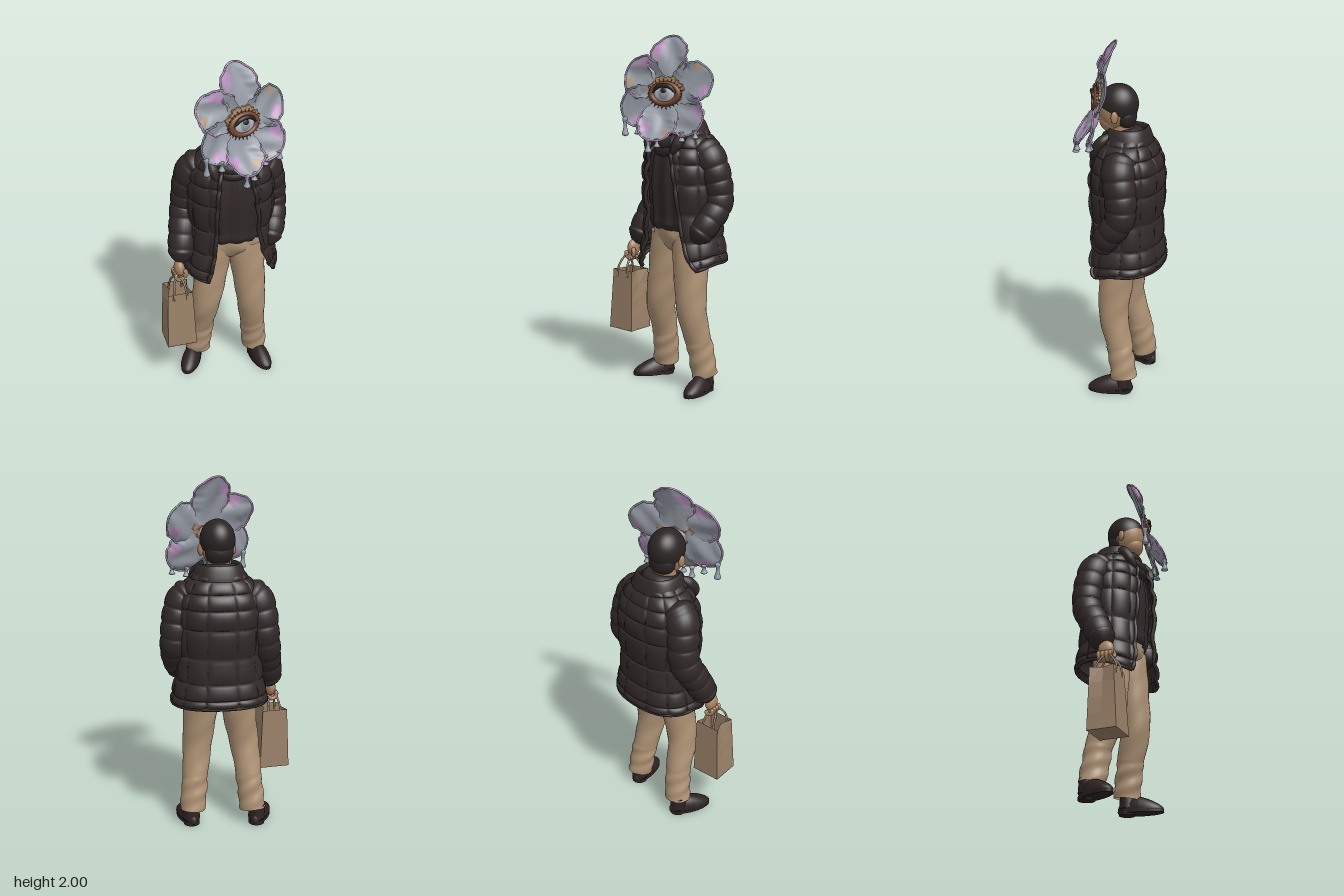
import * as THREE from 'three';
import { mergeVertices } from 'three/addons/utils/BufferGeometryUtils.js';
import { ParametricGeometry } from 'three/addons/geometries/ParametricGeometry.js';

const V = (x, y, z) => new THREE.Vector3(x, y, z);
const { sin, cos, abs, sqrt, pow, min, max, PI, sign } = Math;
const rad = THREE.MathUtils.degToRad, lerp = THREE.MathUtils.lerp;

function material(name, color) {
  const m = new THREE.MeshStandardMaterial({ color, side: THREE.DoubleSide });
  m.name = name;
  return m;
}

function add(parent, name, geometry, mat, pos = [0, 0, 0], rot = [0, 0, 0], scale = [1, 1, 1]) {
  const m = new THREE.Mesh(geometry, mat);
  m.name = name;
  m.position.set(...pos); m.rotation.set(...rot); m.scale.set(...scale);
  parent.add(m);
  return m;
}

function group(parent, name, pos = [0, 0, 0], rot = [0, 0, 0]) {
  const g = new THREE.Group();
  g.name = name;
  g.position.set(...pos);
  g.rotation.set(rot[0], rot[1], rot[2], 'YXZ');
  parent.add(g);
  return g;
}

// Tube whose radius varies along the path and around it
function sweep(points, n, sides, radius) {
  const curve = new THREE.CatmullRomCurve3(points);
  const g = new THREE.TubeGeometry(curve, n, 1, sides), p = g.attributes.position, v = V();
  for (let i = 0; i <= n; i++) {
    const c = curve.getPointAt(i / n);
    for (let j = 0; j <= sides; j++) {
      const k = i * (sides + 1) + j;
      v.fromBufferAttribute(p, k).sub(c).multiplyScalar(radius(i / n, j / sides * 2 * PI)).add(c);
      p.setXYZ(k, v.x, v.y, v.z);
    }
  }
  g.deleteAttribute('normal'); g.deleteAttribute('uv');
  const w = mergeVertices(g, 1e-5);
  w.computeVertexNormals();
  return w;
}
const cap = (t, e = 0.06) => sqrt(min(1, min(t, 1 - t) / e));
const surface = (f, a, b) => new ParametricGeometry((u, v, t) => t.copy(f(u, v)), a, b);
const line = f => Array.from({ length: 25 }, (_, i) => f(i / 24));

// Garment wall: profile points hold half width, height, half depth; gap(v, side) opens the front
function garment(profile, zc, gap, bulge) {
  const curve = new THREE.CatmullRomCurve3(profile);
  return (u, v) => {
    const p = curve.getPoint(v), a = lerp(gap(v, 1), 2 * PI - gap(v, -1), u), k = bulge(a, v);
    const s = sin(a), c = cos(a);
    return V((p.x + k) * sign(s) * pow(abs(s), 0.85), p.y, zc + (p.z + k) * sign(c) * pow(abs(c), 0.85));
  };
}

export function createModel() {
  const root = new THREE.Group();
  root.name = 'flowerHeadedFigure';
  const coat = material('dark coat cloth', 0x312829), hair = material('dark hair', 0x2b2424);
  const tan = material('tan trousers', 0xae9274), paper = material('brown paper', 0x9a8168);
  const skin = material('skin', 0xa98362), shoe = material('shoe leather', 0x2d2223);
  const petalGrey = material('petal grey', 0x949aa4), pink = material('petal pink', 0xb890bc);
  const rust = material('rust brown', 0x74462f), eyeWhite = material('eye white', 0xb4b8bd);
  const body = group(root, 'body', [0.017, 0, -0.062], [0, rad(36), 0]);

  // Trousers
  add(body, 'trouserSeat', surface(garment(
    [V(0.03, 0.79, 0.03), V(0.12, 0.815, 0.085), V(0.178, 0.88, 0.125), V(0.165, 0.97, 0.13)], -0.01, () => 0,
    (a, v) => 0.003 * sin(8 * a + 9 * v)), 48, 16), tan);
  const legs = [
    [V(0.088, 0.89, 0), V(0.105, 0.7, 0.02), V(0.122, 0.48, 0.03), V(0.143, 0.28, -0.01), V(0.157, 0.09, -0.042)],
    [V(-0.088, 0.89, 0), V(-0.115, 0.7, 0.015), V(-0.148, 0.48, 0.02), V(-0.172, 0.28, -0.03), V(-0.19, 0.09, -0.06)],
  ];
  legs.forEach((path, i) => add(body, i ? 'rightTrouserLeg' : 'leftTrouserLeg', sweep(path, 72, 28, (t, a) =>
    lerp(0.11, 0.074, min(1, t * 1.35)) + 0.003 * sin(22 * t + 2 * a) * sin(9 * t + a) +
    (t > 0.75 ? 0.003 * sin(55 * t + 2 * a) : 0)), tan));

  // Shoes
  const upper = new THREE.SphereGeometry(1, 28, 20), up = upper.attributes.position;
  for (let i = 0; i < up.count; i++) {
    const z = up.getZ(i);
    up.setXYZ(i, up.getX(i) * (1 + 0.12 * z), max(up.getY(i), -0.1) * (z > -0.2 ? 1 - 0.4 * (z + 0.2) : 1), z);
  }
  upper.computeVertexNormals();
  [['leftShoe', 0.184, 0.03, 14], ['rightShoe', -0.24, -0.005, -22]].forEach(([name, x, z, yaw]) => {
    const s = group(body, name, [x, 0, z], [0, rad(yaw), 0]);
    add(s, 'upper', upper, shoe, [0, 0.022, 0], [0, 0, 0], [0.054, 0.085, 0.13]);
    add(s, 'ankle', new THREE.CylinderGeometry(0.045, 0.05, 0.08, 20), shoe, [0, 0.075, -0.07]);
    add(s, 'sole', new THREE.CylinderGeometry(1, 1, 0.02, 28), shoe, [0, 0.016, 0.005], [0, 0, 0], [0.055, 1, 0.126]);
    add(s, 'heel', new THREE.CylinderGeometry(0.046, 0.046, 0.024, 20), shoe, [0, 0.012, -0.075]);
  });

  // Ribbed sweater under the coat
  add(body, 'sweater', surface(garment(
    [V(0.17, 0.93, 0.135), V(0.19, 0.96, 0.15), V(0.18, 1.0, 0.15), V(0.195, 1.2, 0.16), V(0.17, 1.38, 0.135), V(0.08, 1.5, 0.07)],
    -0.01, () => 0, a => 0.006 * sin(14 * a)), 128, 24), coat);

  // Open quilted coat with rolled edges; the left panel swings wider and the hem drops toward the front
  const gap = (v, side) => 0.28 + (side > 0 ? 0.75 : 0.25) * pow(1 - v, 2);
  const wall = garment([V(0.275, 0.76, 0.205), V(0.262, 0.82, 0.2), V(0.238, 0.98, 0.185), V(0.245, 1.2, 0.195),
    V(0.232, 1.34, 0.185), V(0.185, 1.44, 0.145), V(0.1, 1.52, 0.095)], -0.015, gap,
  (a, v) => 0.014 * sqrt(abs(sin(8 * PI * v))) * pow(abs(sin(5.5 * a)), 0.3) - 0.006);
  const shell = (u, v) => {
    const p = wall(u, v);
    p.y -= 0.06 * pow(1 - v, 3) * max(0, p.z / 0.18);
    return p;
  };
  add(body, 'coatShell', surface(shell, 132, 96), coat);
  add(body, 'rightCoatEdge', sweep(line(t => shell(1, t)), 60, 8, () => 0.012), coat);
  add(body, 'leftCoatEdge', sweep(line(t => shell(0, t)), 60, 8, () => 0.012), coat);
  add(body, 'coatHem', sweep(line(t => shell(t, 0)), 80, 8, () => 0.01), coat);

  // Sleeves
  const sleeve = (r0, r1) => t => lerp(r0, r1, t) * cap(t, 0.1) * (0.93 + 0.09 * sqrt(abs(sin(8 * PI * t))));
  add(body, 'rightSleeve', sweep([V(-0.12, 1.4, -0.03), V(-0.205, 1.335, -0.045), V(-0.25, 1.1, -0.065),
    V(-0.278, 0.95, 0.01), V(-0.303, 0.8, 0.083)], 96, 24, sleeve(0.1, 0.074)), coat);
  add(body, 'leftSleeve', sweep([V(0.12, 1.4, -0.02), V(0.2, 1.335, -0.025), V(0.25, 1.1, -0.05),
    V(0.24, 0.99, 0.02), V(0.2, 0.88, 0.095)], 96, 24, sleeve(0.1, 0.068)), coat);

  // Collar, lapels and cowl scarf
  add(body, 'collar', surface(garment([V(0.155, 1.42, 0.135), V(0.142, 1.48, 0.125), V(0.118, 1.535, 0.105), V(0.105, 1.54, 0.095),
    V(0.09, 1.48, 0.08)], -0.015, v => 0.6 + 0.2 * v, () => 0.004), 48, 20), coat);
  [-1, 1].forEach(s => add(body, s < 0 ? 'rightLapel' : 'leftLapel', sweep([V(s * 0.09, 1.515, 0.05),
    V(s * 0.125, 1.46, 0.11), V(s * 0.1, 1.36, 0.165)], 20, 12, t => 0.03 * cap(t, 0.3)), coat));
  [[0.082, 0.036, 1.49, 0.02, 0.2], [0.092, 0.042, 1.45, 0.04, 0.4], [0.085, 0.036, 1.42, 0.055, 0.55]].forEach(([r, t, y, z, tilt]) =>
    add(body, 'scarfWrap', new THREE.TorusGeometry(r, t, 14, 40), coat, [0, y, z], [PI / 2 + tilt, 0, 0]));

  // Head with cropped hair
  const head = group(root, 'head', [0.045, 1.645, -0.025], [0, rad(45), 0]);
  const ball = new THREE.SphereGeometry(1, 32, 24);
  add(head, 'face', ball, skin, [0, -0.01, 0.008], [0, 0, 0], [0.089, 0.125, 0.1]);
  add(head, 'jaw', ball, skin, [0, -0.075, 0.03], [0, 0, 0], [0.066, 0.068, 0.072]);
  add(head, 'hair', new THREE.SphereGeometry(1, 32, 24, 0, 2 * PI, 0, PI * 0.59), hair, [0, 0.01, -0.002], [-0.42, 0, 0], [0.098, 0.118, 0.111]);
  add(head, 'neck', new THREE.CylinderGeometry(0.06, 0.068, 0.17, 24), skin, [0, -0.12, -0.02]);
  add(head, 'nape', ball, hair, [0, -0.05, -0.042], [0, 0, 0], [0.08, 0.075, 0.062]);
  [-1, 1].forEach(s => add(head, s < 0 ? 'rightEar' : 'leftEar', ball, skin, [s * 0.096, -0.04, 0.002], [0, s * 0.4, 0], [0.012, 0.034, 0.02]));

  // Flower covering the face
  const flower = group(root, 'flower', [0.122, 1.683, 0.028], [rad(-7), rad(60), 0]);
  // Each petal: angle, reach, forward bend, drips as [u, v, length]
  const petals = [
    [90, 0.322, -0.035, []], [148, 0.292, -0.015, []],
    [205, 0.28, 0.03, [[-0.3, 0.96, 0.11], [-0.8, 0.7, 0.06]]],
    [262, 0.26, 0.12, [[0.35, 0.95, 0.08], [-0.5, 0.92, 0.05]]],
    [318, 0.285, 0.07, [[0.2, 0.96, 0.05], [0.75, 0.72, 0.06]]], [22, 0.28, 0.01, []],
  ];
  petals.forEach(([angle, reach, bend, drips], i) => {
    const p = group(flower, 'petal', [0, 0, 0.006 * (i % 2)], [0, 0, rad(angle - 90)]);
    const at = (u, v, lift = 0) => {
      const w = 0.113 * pow(max(0, sin(PI * (0.12 + 0.88 * pow(v, 1.3)))), 0.5) * (1 + 0.05 * sin(19 * v + i) + 0.025 * sin(41 * v));
      const r = lerp(0.045, reach, v) + 0.012 * v * (1 - v) * sin(7 * u + i);
      return V(u * w, r, 0.03 * sin(PI * v) * u * u - 0.012 * v + bend * v * v +
        0.012 * v * (1 - v * v * v) * sin(5 * u + 6 * v + i) + 0.008 * (1 - abs(u)) * (1 - v) + lift);
    };
    add(p, 'petalBlade', surface((u, v) => at(2 * u - 1, 1 - pow(1 - v, 1.6)), 20, 36), petalGrey);
    add(p, 'petalRim', sweep(Array.from({ length: 61 }, (_, k) => {
      const t = k / 30 - 1;
      return at(sign(t), 1 - 0.7 * t * t);
    }), 100, 6, t => 0.0055 * cap(t)), i % 3 === 2 ? petalGrey : pink);
    // Irregular stains on the blade
    const stain = (name, mat, uc, vc, su, sv, lift) => add(p, name, surface((u, v) => {
      const a = 2 * PI * u, k = v * (1 + 0.2 * sin(3 * a + i));
      return at(uc + su * k * cos(a), vc + sv * k * sin(a), lift);
    }, 20, 5), mat);
    [0.003, -0.003].forEach(l => stain('pinkStain', pink, i % 2 ? 0.62 : -0.62, 0.7, 0.27, 0.17, l));
    if (i % 2 === 1) stain('tanStain', tan, -0.65, 0.75, 0.2, 0.1, 0.003);
    // Drips hang straight down from the blade
    p.updateWorldMatrix(true, false);
    drips.forEach(([u, v, h]) => {
      const d = p.localToWorld(at(u, v));
      add(root, 'petalDrip', sweep([d, V(d.x + 0.004, d.y - h / 2, d.z), V(d.x + 0.004, d.y - h, d.z)], 18, 10,
        t => cap(t, 0.12) * (0.009 + 0.014 * pow(abs(2 * t - 0.9), 1.5))), petalGrey);
    });
  });

  // Ragged brow, rust eyelids with lashes, eyeball
  const ragged = new THREE.Shape(Array.from({ length: 72 }, (_, k) => {
    const a = 2 * PI * k / 72, r = 0.088 + 0.006 * sin(7 * a) + 0.005 * sin(18 * a);
    return new THREE.Vector2(r * 1.1 * cos(a), r * 0.82 * sin(a) + 0.02);
  }));
  add(flower, 'browFringe', new THREE.ExtrudeGeometry(ragged, { depth: 0.01, bevelSize: 0.003, bevelThickness: 0.003 }), skin, [0, 0, 0.01]);
  const eye = group(flower, 'eye', [0, 0, 0.024]);
  eye.scale.setScalar(0.9);
  add(eye, 'eyelids', new THREE.TorusGeometry(0.08, 0.02, 12, 40), rust, [0, 0, 0], [0, 0, 0], [1.08, 0.76, 1.1]);
  for (let i = 0; i < 26; i++) {
    const a = i / 26 * 2 * PI;
    add(eye, 'lash', new THREE.ConeGeometry(0.009, 0.035 + 0.008 * (i % 3), 6), rust,
      [0.1 * cos(a), 0.075 * sin(a), 0.006], [0, 0, a - PI / 2]);
  }
  add(eye, 'eyeball', ball, eyeWhite, [0, 0, -0.004], [0, 0, 0], [0.08, 0.056, 0.028]);
  add(eye, 'iris', ball, petalGrey, [0, 0.004, 0.012], [0, 0, 0], [0.04, 0.042, 0.018]);
  add(eye, 'pupil', ball, hair, [0, 0.016, 0.022], [0, 0, 0], [0.022, 0.02, 0.011]);
  add(eye, 'upperLid', sweep([V(-0.08, 0, 0.014), V(-0.035, 0.042, 0.028), V(0.035, 0.042, 0.028), V(0.08, 0, 0.014)],
    24, 8, t => 0.013 * cap(t, 0.3)), hair);

  // Hand gripping the handles
  const hand = group(root, 'rightHand', [-0.18, 0.765, 0.195], [0, rad(45), 0]);
  add(hand, 'palm', ball, skin, [0, 0.015, 0], [0, 0, 0], [0.03, 0.05, 0.045]);
  for (let i = 0; i < 4; i++) {
    const z = -0.033 + i * 0.022;
    add(hand, 'finger', sweep([V(-0.028, 0, z), V(-0.026, -0.035, z), V(0, -0.048, z), V(0.018, -0.03, z)], 14, 8, t => 0.012 * cap(t, 0.1)), skin);
  }
  add(hand, 'thumb', sweep([V(0.02, 0.02, 0.03), V(0.032, -0.01, 0.035), V(0.02, -0.035, 0.03)], 12, 8, t => 0.013 * cap(t, 0.15)), skin);

  // Paper bag: thin open walls with pinched gussets, narrower at the top
  const bag = group(root, 'paperBag', [-0.178, 0.3, 0.22], [0, rad(43), 0]);
  const W = 0.087, D = 0.082;
  const rim = k => [[-W, -D], [0, -D], [W, -D], [W - k, 0], [W, D], [0, D], [-W, D], [k - W, 0]];
  const pos = [], idx = [];
  for (let r = 0; r <= 4; r++) {
    const t = r / 4, s = 1 - 0.16 * t;
    rim(0.03 * t * t).forEach(([x, z]) => pos.push(x * s, 0.352 * t, z * s - 0.008 * t));
  }
  for (let r = 0; r < 4; r++) for (let j = 0; j < 8; j++) {
    const a = r * 8 + j, b = r * 8 + (j + 1) % 8;
    idx.push(a, a + 8, b, b, a + 8, b + 8);
  }
  const folded = new THREE.BufferGeometry();
  folded.setAttribute('position', new THREE.Float32BufferAttribute(pos, 3));
  folded.setIndex(idx);
  const walls = folded.toNonIndexed();
  walls.computeVertexNormals();
  add(bag, 'bagWalls', walls, paper);
  add(bag, 'bagBase', new THREE.BoxGeometry(2 * W, 0.006, 2 * D), paper, [0, 0.003, 0]);
  [-1, 1].forEach(s => add(bag, 'bagHandle', sweep([V(-0.04, 0.31, s * 0.066 - 0.006), V(-0.034, 0.37, s * 0.058),
    V(-0.016, 0.43, s * 0.02), V(0.016, 0.43, s * 0.02), V(0.034, 0.37, s * 0.058), V(0.04, 0.31, s * 0.066 - 0.006)], 32, 8, () => 0.006), paper));
  return root;
}
